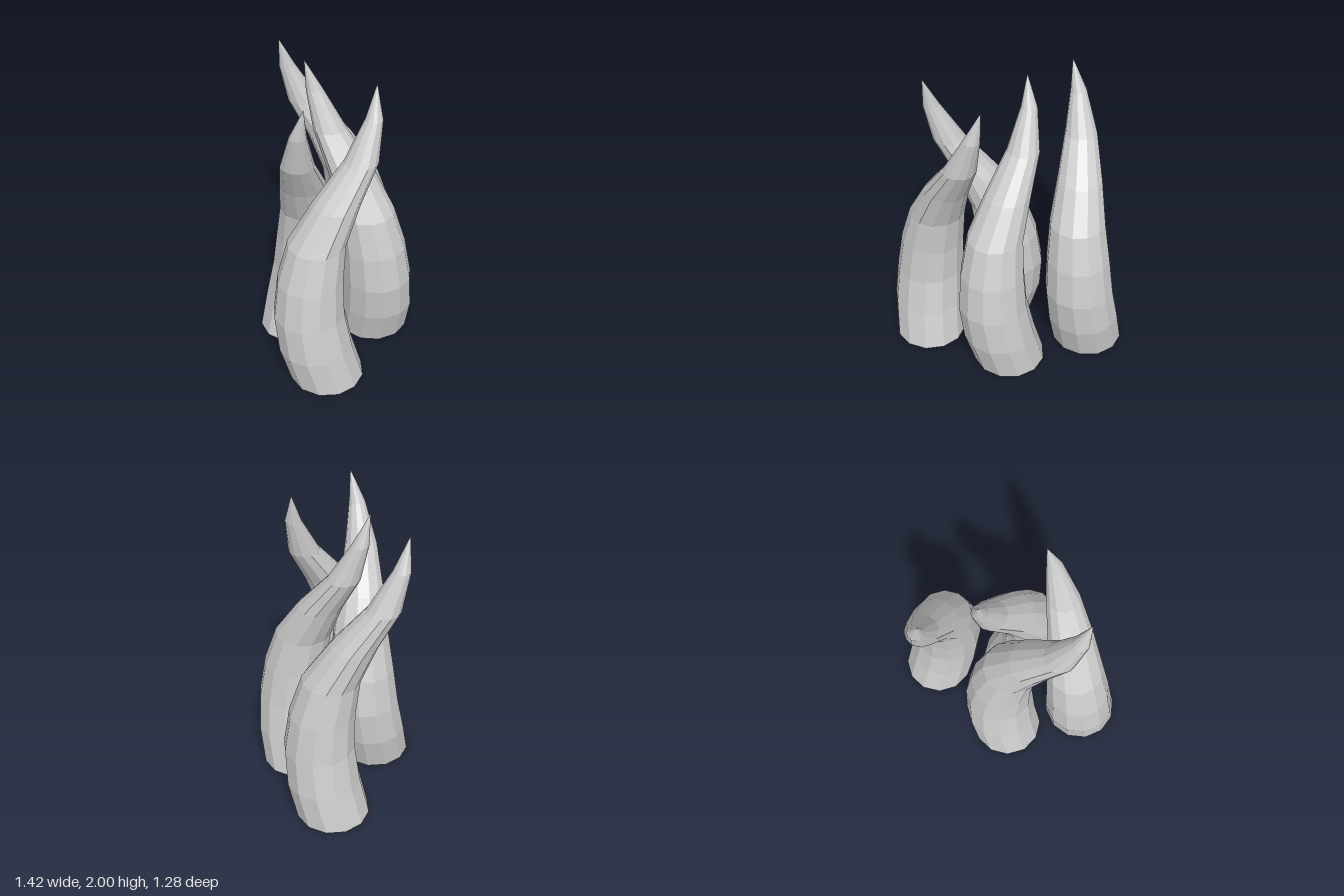
import * as THREE from 'three';

// Horn cross-sections from base to tip: [height, radius, centre x, centre z]
const SECTIONS = [
  [0, 0.25, 0, 0],
  [0.256, 0.25, 0.013, 0.073],
  [0.511, 0.237, 0.002, 0.116],
  [0.767, 0.218, -0.025, 0.112],
  [1.022, 0.19, -0.075, 0.078],
  [1.278, 0.152, -0.165, -0.03],
  [1.533, 0.109, -0.286, -0.162],
  [1.789, 0.056, -0.375, -0.22],
  [2, 0, -0.439, -0.222],
];
const SIDES = 12;
const deg = THREE.MathUtils.degToRad;

// Tapered lathe, open at the base, with every ring shifted along the curved spine
function hornGeometry() {
  const profile = SECTIONS.map(([y, r]) => new THREE.Vector2(r, y));
  const geometry = new THREE.LatheGeometry(profile, SIDES, deg(1.6));
  const pos = geometry.attributes.position;
  for (let i = 0; i < pos.count; i++) {
    const [, , cx, cz] = SECTIONS[i % SECTIONS.length];
    pos.setX(i, pos.getX(i) + cx);
    pos.setZ(i, pos.getZ(i) + cz);
  }
  geometry.computeVertexNormals();
  return geometry;
}

export function createModel() {
  const group = new THREE.Group();
  group.name = 'hornCluster';
  const material = new THREE.MeshStandardMaterial({
    color: 0xcccccc, flatShading: true, side: THREE.DoubleSide,
  });
  const geometry = hornGeometry();

  // Four copies of the same horn: base x, base z, turn about y in degrees
  const horns = [
    ['backLeftHorn', 0.447, -0.372, 0],
    ['frontLeftHorn', 0.198, 0.18, -31.6],
    ['frontRightHorn', -0.406, 0.39, -142.5],
    ['backRightHorn', -0.25, -0.158, -270.4],
  ];
  for (const [name, x, z, turn] of horns) {
    const horn = new THREE.Mesh(geometry, material);
    horn.name = name;
    horn.position.set(x, 0, z);
    horn.rotation.y = deg(turn);
    group.add(horn);
  }
  return group;
}
